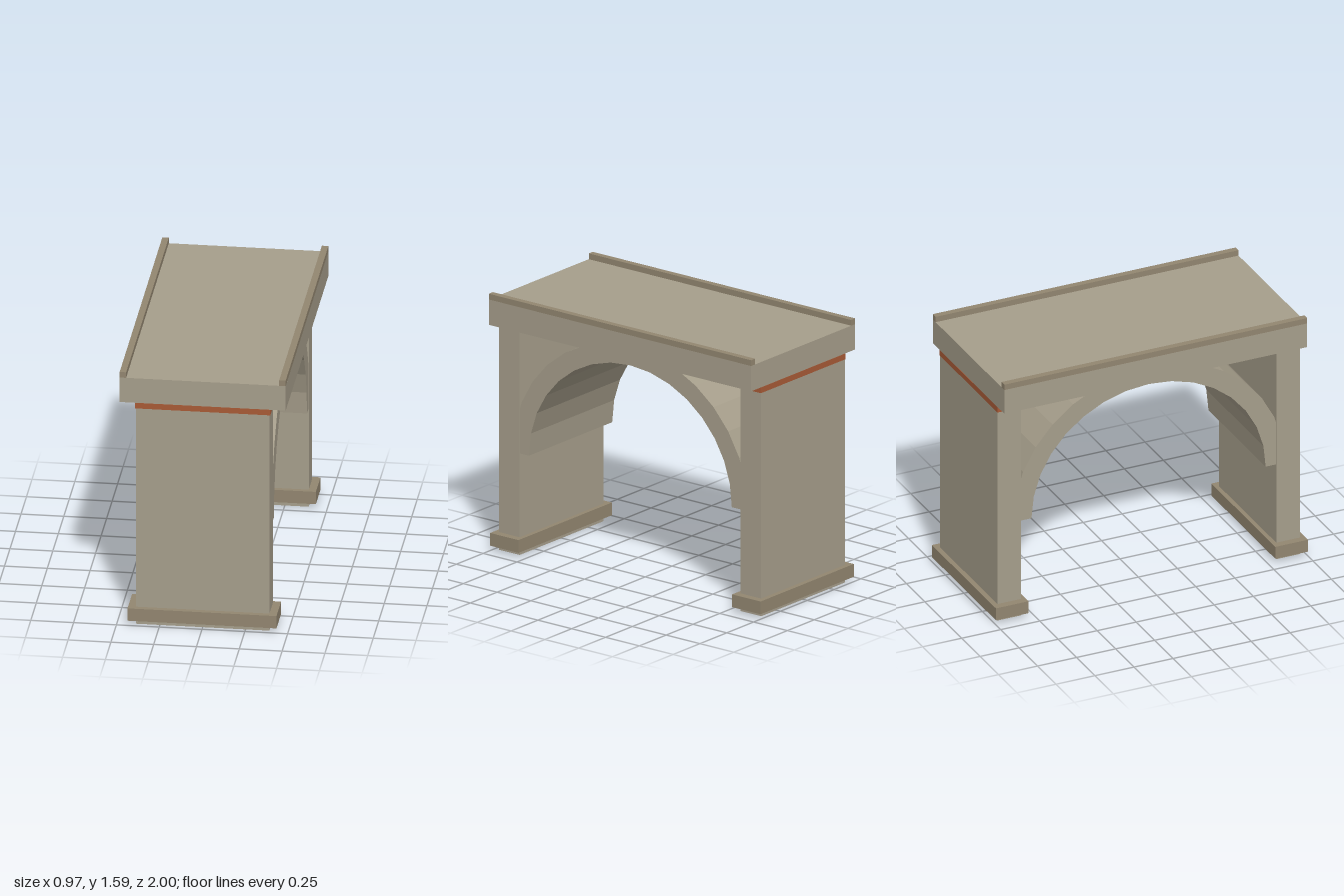
import * as THREE from 'three';

const stone = new THREE.MeshStandardMaterial({ color: 0xa69e8b, flatShading: true });
const trim = new THREE.MeshStandardMaterial({ color: 0x928670, flatShading: true });
const rust = new THREE.MeshStandardMaterial({ color: 0xa85a36, flatShading: true });

// Box given by its extents on each axis
function block(name, material, [x0, x1], [y0, y1], [z0, z1]) {
  const mesh = new THREE.Mesh(new THREE.BoxGeometry(x1 - x0, y1 - y0, z1 - z0), material);
  mesh.position.set((x0 + x1) / 2, (y0 + y1) / 2, (z0 + z1) / 2);
  mesh.name = name;
  return mesh;
}

// Half-elliptical ring with faceted curves, extruded across the width
function arch(width, springY, inner, outer, segments) {
  const points = [];
  const addArc = ([a, b], reverse) => {
    for (let i = 0; i <= segments; i++) {
      const t = (Math.PI * (reverse ? segments - i : i)) / segments;
      points.push(new THREE.Vector2(a * Math.cos(t), springY + b * Math.sin(t)));
    }
  };
  addArc(outer, false);
  addArc(inner, true);
  const geometry = new THREE.ExtrudeGeometry(new THREE.Shape(points), { depth: width, bevelEnabled: false });
  geometry.translate(0, 0, -width / 2).rotateY(Math.PI / 2);
  const mesh = new THREE.Mesh(geometry, stone);
  mesh.name = 'arch';
  return mesh;
}

export function createModel() {
  const model = new THREE.Group();
  model.name = 'archBridge';

  // Deck and the coloured plate below it
  model.add(block('deck', stone, [-0.485, 0.485], [1.4, 1.555], [-0.97, 0.97]));
  model.add(block('underDeckPlate', rust, [-0.395, 0.395], [1.365, 1.4], [-0.971, 0.971]));

  // Low curbs along both long edges
  for (const s of [-1, 1]) {
    const curb = block('curb', trim, [-0.019, 0.019], [1.555, 1.59], [-0.97, 0.97]);
    curb.position.x = s * 0.466;
    model.add(curb);
  }

  // Wall piers with a plinth around each foot
  for (const s of [-1, 1]) {
    const pier = new THREE.Group();
    pier.name = s > 0 ? 'frontPier' : 'backPier';
    pier.add(block('wall', stone, [-0.39, 0.39], [0, 1.37], [-0.076, 0.076]));
    pier.add(block('plinth', trim, [-0.435, 0.435], [0.03, 0.108], [-0.105, 0.105]));
    pier.children[0].position.z = s * 0.893;
    pier.children[1].position.z = s * 0.895;
    model.add(pier);
  }

  // Arch between the piers; its crown runs up into the deck
  model.add(arch(0.776, 0.62, [0.75, 0.71], [0.87, 0.825], 16));

  return model;
}
